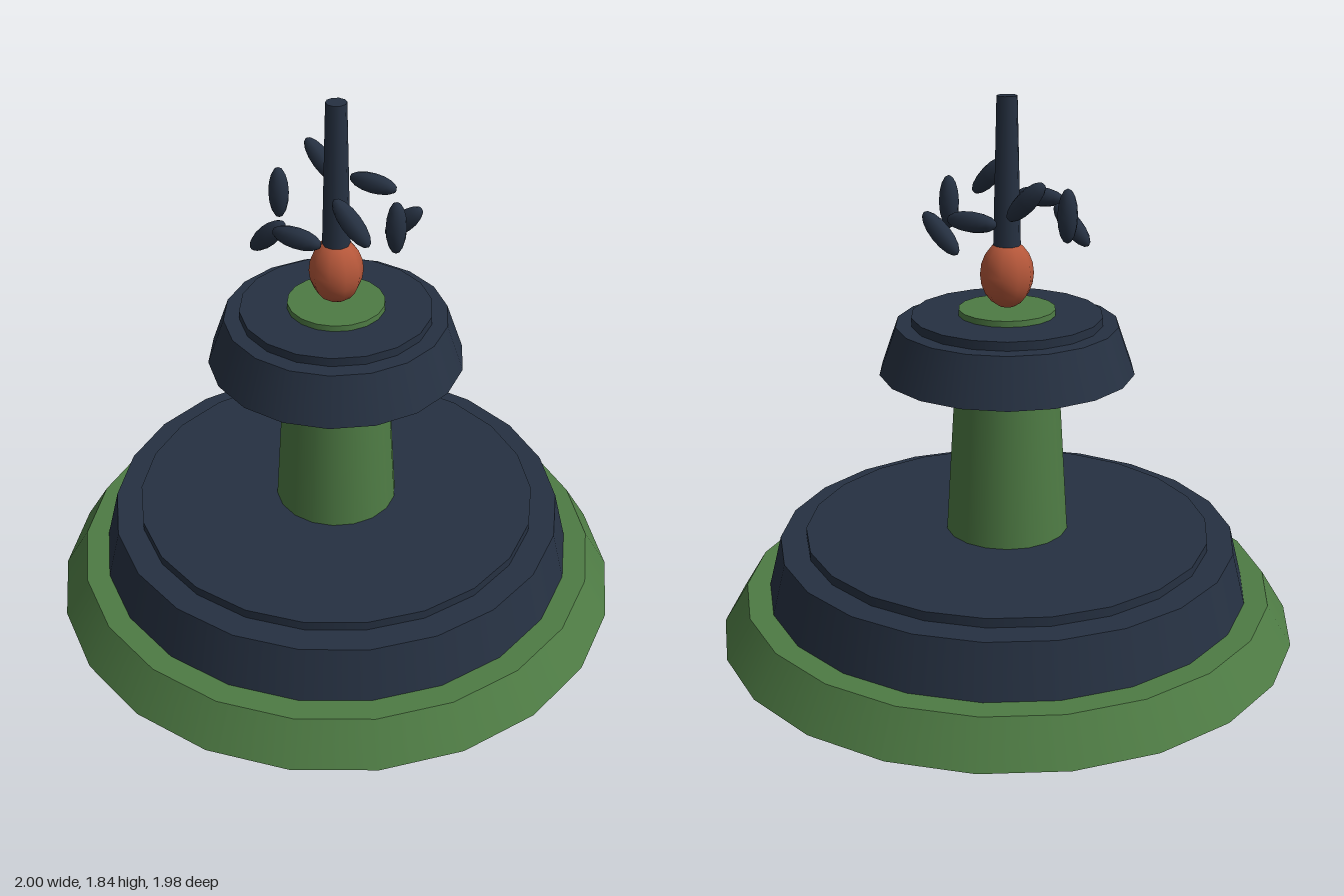
import * as THREE from 'three';

export function createModel() {
  const model = new THREE.Group();
  model.name = 'tieredFountain';

  const paint = (name, color) => {
    const m = new THREE.MeshStandardMaterial({ color });
    m.name = name;
    return m;
  };
  const green = paint('green', 0x4e7b44);
  const navy = paint('navy', 0x263142);
  const rust = paint('rust', 0xb5573a);

  const add = (name, geometry, material, y) => {
    const mesh = new THREE.Mesh(geometry, material);
    mesh.name = name;
    mesh.position.y = y;
    model.add(mesh);
    return mesh;
  };

  // Tapered round tier from y0 to y1, with a corner on the x axis
  const tier = (name, material, rBottom, rTop, y0, y1, sides) =>
    add(name, new THREE.CylinderGeometry(rTop, rBottom, y1 - y0, sides, 1, false, Math.PI / 2),
      material, (y0 + y1) / 2);

  // Stacked base
  tier('basePlinth', green, 1, 0.915, 0, 0.14, 22);
  tier('lowerBasin', navy, 0.835, 0.79, 0.14, 0.32, 22);
  tier('lowerDisc', navy, 0.7, 0.7, 0.32, 0.352, 22);

  // Column and upper basin
  tier('column', green, 0.215, 0.163, 0.3, 1.14, 18);
  tier('upperBasin', navy, 0.432, 0.375, 0.928, 1.09, 18);
  tier('upperDisc', navy, 0.322, 0.322, 1.09, 1.12, 18);

  // Finial
  const ball = add('finialBall', new THREE.SphereGeometry(1, 10, 10), rust, 1.257);
  ball.scale.set(0.09, 0.115, 0.09);
  tier('spire', navy, 0.047, 0.034, 1.3, 1.843, 10);

  // Ring of eight leaves, each turned a further eighth
  const leafGeometry = new THREE.SphereGeometry(1, 10, 8);
  for (let i = 0; i < 8; i++) {
    const a = (i * Math.PI) / 4;
    const leaf = add(`leaf${i + 1}`, leafGeometry, navy, 1.475 + 0.068 * Math.sin(2 * a));
    leaf.position.x = 0.223 * Math.cos(a);
    leaf.position.z = 0.223 * Math.sin(a);
    leaf.rotation.z = a;
    leaf.scale.set(0.034, 0.09, 0.032);
  }

  return model;
}
